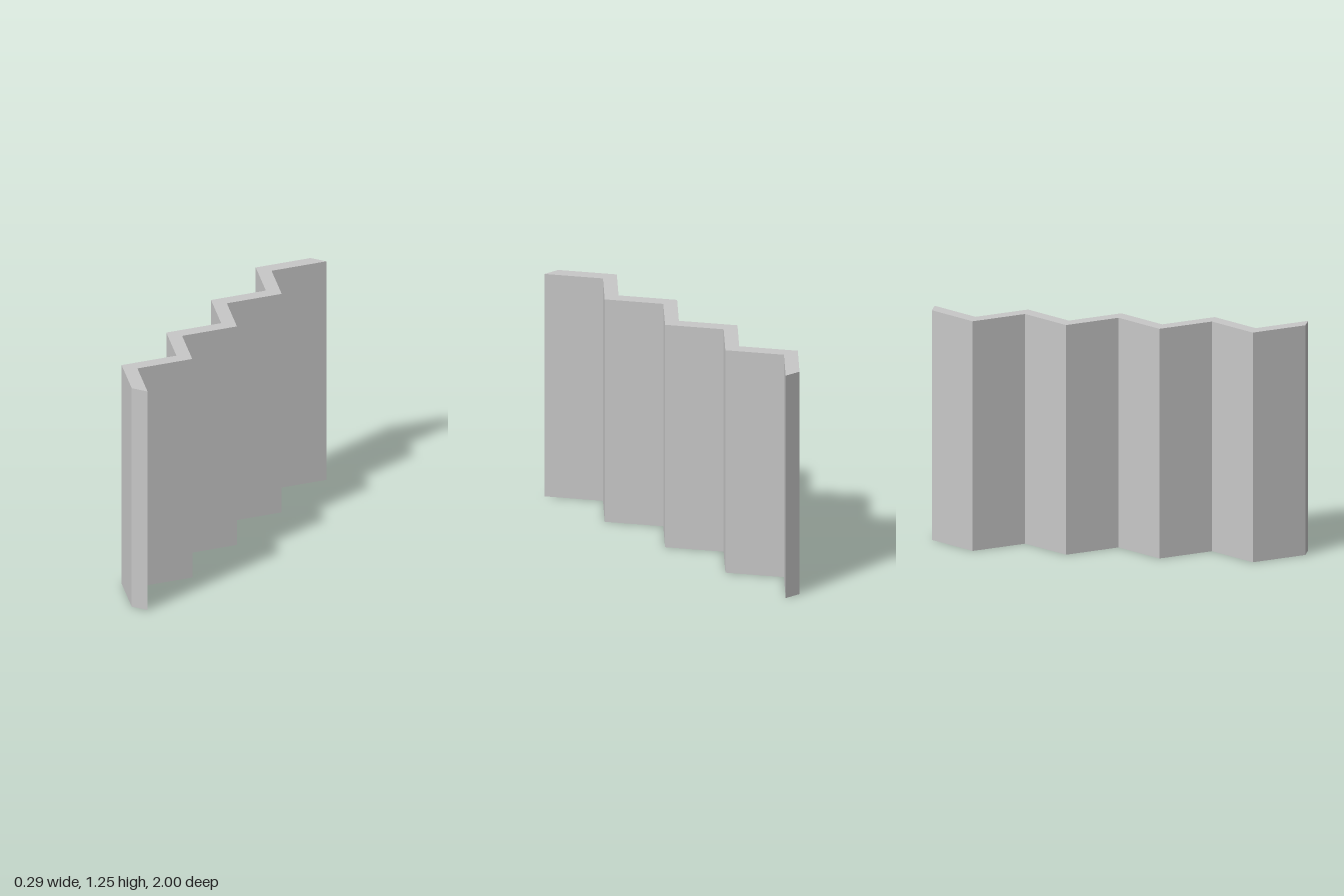
import * as THREE from 'three';

const HEIGHT = 1.255;
const FOLDS = 8; // number of flat panels
const HALF_WIDTH = 0.145;
const THICKNESS = 0.095; // wall thickness measured along x

export function createModel() {
  const group = new THREE.Group();
  group.name = 'foldingScreen';

  const grey = new THREE.MeshStandardMaterial({ color: 0xc8c8c8 });
  grey.name = 'light grey';

  // Zigzag footprint: right face up, then left face back down
  const right = [];
  const left = [];
  for (let i = 0; i <= FOLDS; i++) {
    const y = -1 + (2 * i) / FOLDS;
    const x = i % 2 === 0 ? HALF_WIDTH : -HALF_WIDTH + THICKNESS;
    right.push(new THREE.Vector2(x, y));
    left.unshift(new THREE.Vector2(x - THICKNESS, y));
  }

  // Upright pleated wall
  const geometry = new THREE.ExtrudeGeometry(new THREE.Shape([...right, ...left]), {
    depth: HEIGHT,
    bevelEnabled: false,
  });
  geometry.rotateX(-Math.PI / 2);

  const wall = new THREE.Mesh(geometry, grey);
  wall.name = 'pleatedPanels';
  group.add(wall);
  return group;
}
